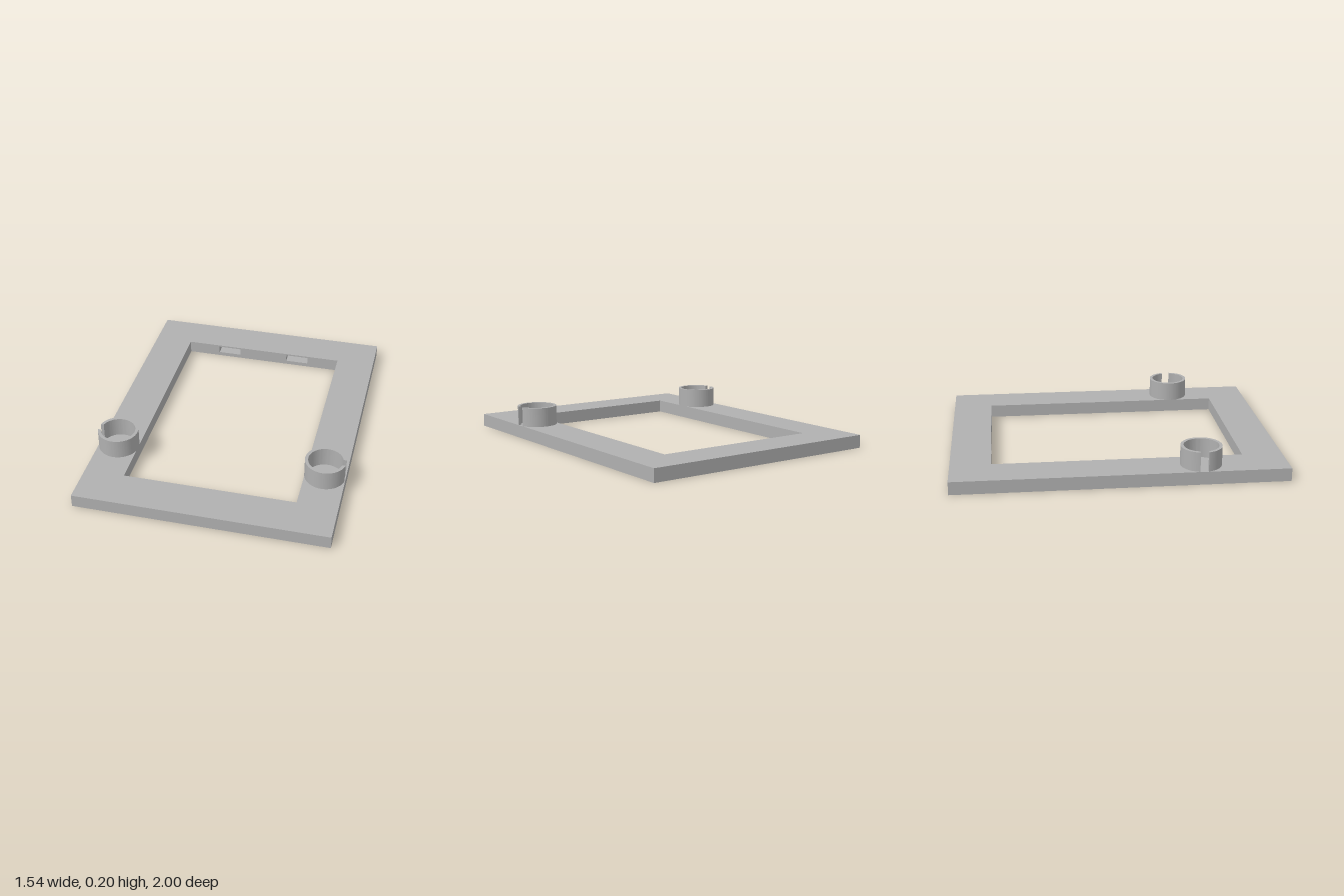
import * as THREE from 'three';
import { toCreasedNormals } from 'three/addons/utils/BufferGeometryUtils.js';

const HX = 0.77, HZ = 1, H = 0.08;      // frame half sizes and thickness
const OX = 0.525, OZ = 0.755;           // half sizes of the opening
const POCKET_DEPTH = 0.08;

// Trace a rectangle into a shape or hole path
function rect(path, x0, y0, x1, y1) {
  path.moveTo(x0, y0);
  path.lineTo(x1, y0);
  path.lineTo(x1, y1);
  path.lineTo(x0, y1);
  path.closePath();
  return path;
}

const extrude = (shape, depth) =>
  new THREE.ExtrudeGeometry(shape, { depth, bevelEnabled: false, curveSegments: 64 });

export function createModel() {
  const group = new THREE.Group();
  const grey = new THREE.MeshStandardMaterial({ color: 0xb0b0b0 });
  grey.name = 'grey plastic';

  const add = (name, geometry) => {
    const mesh = new THREE.Mesh(geometry, grey);
    mesh.name = name;
    group.add(mesh);
    return mesh;
  };

  // Flat frame; the shape's y becomes -z, opening reaches back to the pocket floors
  const outline = rect(new THREE.Shape(), -HX, -HZ, HX, HZ);
  outline.holes.push(rect(new THREE.Path(), -OX, -OZ, OX, OZ + POCKET_DEPTH));
  add('frame', extrude(outline, H).rotateX(-Math.PI / 2));

  // Inner strip of the back bar with two rectangular pockets
  const strip = rect(new THREE.Shape(), -OX, 0, OX, H);
  for (const x of [-0.24, 0.24])
    strip.holes.push(rect(new THREE.Path(), x - 0.075, 0.025, x + 0.075, 0.07));
  add('pocketStrip', extrude(strip, POCKET_DEPTH)).position.z = -OZ - POCKET_DEPTH;

  // Split rings, each with its slot facing outward
  const R = 0.124, r = 0.105, halfSlot = 0.025;
  const a = Math.asin(halfSlot / R), b = Math.asin(halfSlot / r);
  const ring = new THREE.Shape();
  ring.absarc(0, 0, R, a, 2 * Math.PI - a, false);
  ring.absarc(0, 0, r, 2 * Math.PI - b, b, true);
  ring.closePath();
  const ringGeometry = toCreasedNormals(extrude(ring, 0.12).rotateX(-Math.PI / 2), 0.6);
  for (const side of [1, -1]) {
    const mesh = add(side > 0 ? 'leftRing' : 'rightRing', ringGeometry);
    mesh.position.set(side * 0.645, H, 0.48);
    mesh.rotation.y = side > 0 ? 0 : Math.PI;
  }
  return group;
}
